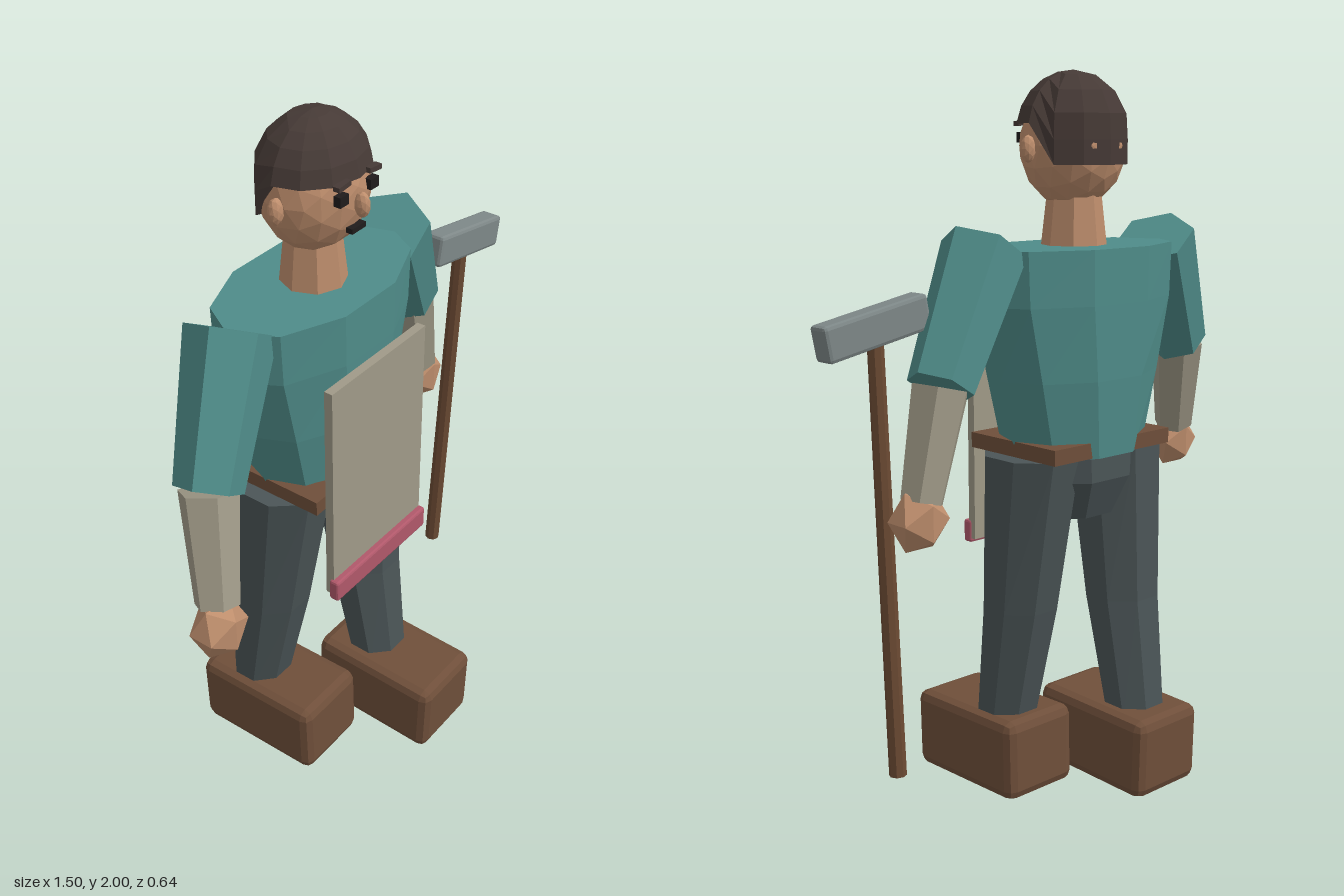
import * as THREE from 'three';
import { RoundedBoxGeometry } from 'three/addons/geometries/RoundedBoxGeometry.js';

const paint = (color) => new THREE.MeshStandardMaterial({ color, flatShading: true });
const teal = paint(0x4f8c89), skin = paint(0xbd8d6c), hairDark = paint(0x463a36), trousers = paint(0x4b5557);
const leather = paint(0x6f4f3a), wood = paint(0x6b4a33), linen = paint(0xa09a88), pink = paint(0xb0586a);
const steel = paint(0x7e8888), dark = paint(0x201c1c);

// Body axis
const CX = -0.065, CZ = -0.065;

export function createModel() {
  const model = new THREE.Group();

  function add(name, geometry, material, x = 0, y = 0, z = 0, parent = model) {
    const mesh = new THREE.Mesh(geometry, material);
    mesh.name = name;
    mesh.position.set(x, y, z);
    parent.add(mesh);
    return mesh;
  }

  // Stack of level elliptical rings [x, y, z, rx, rz], listed from top to bottom
  function loft(rings, sides, start = 0) {
    const last = rings.length - 1;
    const g = new THREE.CylinderGeometry(1, 1, 1, sides, last, false, start);
    const p = g.attributes.position;
    for (let i = 0; i < p.count; i++) {
      const [x, y, z, rx, rz] = rings[Math.round((0.5 - p.getY(i)) * last)];
      p.setXYZ(i, x + p.getX(i) * rx, y, z + p.getZ(i) * rz);
    }
    return g;
  }

  // Tapered rod between two points
  function rod(name, a, b, ra, rb, sides, material) {
    const from = new THREE.Vector3(...a), to = new THREE.Vector3(...b);
    const dir = to.clone().sub(from);
    const mesh = add(name, new THREE.CylinderGeometry(rb, ra, dir.length(), sides), material);
    mesh.position.copy(from).add(to).multiplyScalar(0.5);
    mesh.quaternion.setFromUnitVectors(new THREE.Vector3(0, 1, 0), dir.normalize());
    return mesh;
  }

  function ball(name, r, detail, material, x, y, z) {
    const mesh = add(name, new THREE.IcosahedronGeometry(1, detail), material, x, y, z);
    mesh.scale.set(...r);
    return mesh;
  }

  // Torso, neck, belt and pelvis
  add('torso', loft([
    [CX, 1.545, CZ, 0.333, 0.19],
    [CX, 1.4, CZ, 0.325, 0.19],
    [CX, 1.2, CZ, 0.27, 0.187],
    [CX, 0.99, CZ, 0.21, 0.175],
  ], 10, Math.PI / 2), teal);
  add('neck', new THREE.CylinderGeometry(0.072, 0.09, 0.16, 8), skin, CX, 1.61, CZ);
  add('belt', new THREE.BoxGeometry(0.44, 0.042, 0.33), leather, CX, 1.013, -0.057);
  add('pelvis', loft([
    [CX, 1.0, CZ, 0.2, 0.16],
    [CX, 0.92, CZ, 0.19, 0.16],
    [CX, 0.81, CZ, 0.13, 0.11],
  ], 8, Math.PI / 8), trousers);

  // Head and face
  ball('head', [0.15, 0.163, 0.137], 2, skin, CX, 1.805, -0.06);
  ball('nose', [0.018, 0.034, 0.022], 1, skin, CX, 1.795, 0.087);
  for (const s of [-1, 1]) {
    ball('ear', [0.022, 0.036, 0.02], 1, skin, CX + s * 0.155, 1.797, -0.052);
    add('eye', new THREE.BoxGeometry(0.032, 0.027, 0.02), dark, CX + s * 0.06, 1.826, 0.07);
    const brow = add('eyebrow', new THREE.BoxGeometry(0.046, 0.013, 0.02), hairDark, CX + s * 0.06, 1.864, 0.073);
    brow.rotation.z = -s * 0.1;
  }
  add('mouth', new THREE.BoxGeometry(0.054, 0.014, 0.02), dark, CX, 1.73, 0.068);

  // Hair: a cap that hangs lower at the back, with its rim tucked inward
  const cap = new THREE.SphereGeometry(1, 12, 6, 0, Math.PI * 2, 0, Math.PI / 2);
  const p = cap.attributes.position;
  for (let i = 0; i < p.count; i++) {
    const t = Math.acos(Math.min(1, p.getY(i))) / (Math.PI / 2);
    const az = Math.atan2(p.getX(i), p.getZ(i));
    const rim = t > 0.99;
    const theta = Math.min(1, t * 1.2) * (Math.abs(az) > 2.05 ? 2.1 : 1.42);
    const r = (theta > Math.PI / 2 ? 0.98 : Math.sin(theta)) * (rim ? 0.82 : 1);
    p.setXYZ(i, Math.sin(az) * r * 0.162, Math.cos(theta) * 0.162, Math.cos(az) * r * 0.142);
  }
  const hairMaterial = hairDark.clone();
  hairMaterial.side = THREE.DoubleSide;
  add('hair', cap, hairMaterial, CX, 1.838, -0.06);

  // Arms: shoulder, elbow, wrist and hand positions
  const arms = [
    ['right', [-0.385, 1.55, -0.065], [-0.583, 1.225, 0.015], [-0.66, 0.95, 0.09], [-0.675, 0.895, 0.105]],
    ['left', [0.255, 1.55, -0.065], [0.457, 1.225, -0.13], [0.53, 0.95, -0.14], [0.54, 0.905, -0.14]],
  ];
  for (const [side, shoulder, elbow, wrist, hand] of arms) {
    rod(side + 'Sleeve', shoulder, elbow, 0.115, 0.088, 6, teal);
    rod(side + 'Forearm', elbow, wrist, 0.078, 0.058, 6, linen);
    ball(side + 'Hand', [0.082, 0.088, 0.068], 0, skin, ...hand);
  }

  // Legs in stride and block boots
  for (const s of [-1, 1]) {
    const side = s > 0 ? 'left' : 'right';
    const x = CX + s * 0.146;
    add(side + 'Leg', loft([
      [x, 0.99, CZ + s * 0.01, 0.128, 0.148],
      [x, 0.55, CZ + s * 0.055, 0.11, 0.11],
      [x + s * 0.005, 0.2, CZ + s * 0.11, 0.09, 0.085],
    ], 8, Math.PI / 8), trousers);
    const boot = add(side + 'Boot', new RoundedBoxGeometry(0.245, 0.23, 0.41, 1, 0.028), leather,
      CX + s * 0.141, 0.121, s * 0.113);
    boot.rotation.x = s * 0.025;
  }

  // Apron with a coloured hem
  add('apron', new THREE.BoxGeometry(0.4, 0.66, 0.025), linen, -0.065, 1.05, 0.134);
  add('apronHem', new RoundedBoxGeometry(0.412, 0.065, 0.03, 1, 0.007), pink, -0.067, 0.74, 0.151);

  // Long hammer
  rod('hammerHandle', [0.586, 0.228, -0.093], [0.586, 1.37, -0.04], 0.023, 0.021, 8, wood);
  const hammerHead = add('hammerHead', new RoundedBoxGeometry(0.315, 0.092, 0.064, 1, 0.01), steel, 0.592, 1.378, -0.04);
  hammerHead.rotation.z = -0.19;

  return model;
}
